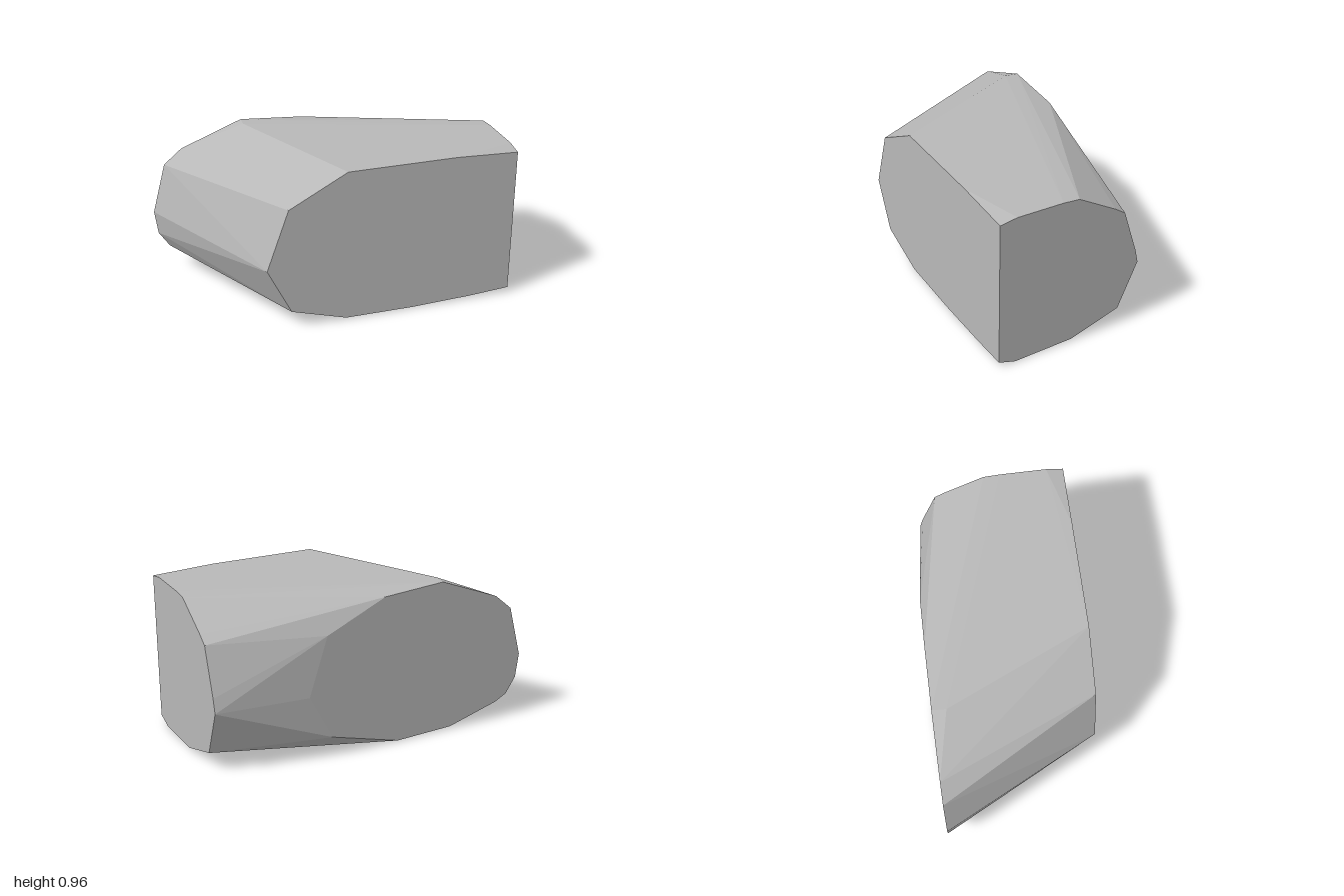
import * as THREE from 'three';
import { ConvexGeometry } from 'three/addons/geometries/ConvexGeometry.js';

// Flat front face, as x, y
const FRONT = [
  [1, 0.033], [1, 0.94], [0.62, 0.957], [-0.04, 0.957], [-0.39, 0.77],
  [-0.522, 0.4], [-0.38, 0.11], [-0.045, 0.008], [0.38, 0.005], [0.75, 0.017],
];

// Flat back face, as x, y
const BACK = [
  [0.33, 0.755], [0.445, 0.4], [0.3, 0.125], [-0.14, 0.003], [-0.51, 0.015],
  [-0.84, 0.11], [-0.915, 0.15], [-0.98, 0.25], [-1, 0.4], [-0.917, 0.713],
  [-0.805, 0.807], [-0.425, 0.954], [-0.04, 0.925],
];

// Flat end face at the left, as z, y
const END = [
  [0.37, 0], [0, 0.012], [-0.31, 0.115], [-0.428, 0.4], [-0.408, 0.485],
  [-0.315, 0.765], [-0.25, 0.81], [-0.01, 0.949], [0.09, 0.957], [0.37, 0.958],
];

const DEPTH = 0.475;

export function createModel() {
  const model = new THREE.Group();
  model.name = 'rock';

  const stone = new THREE.MeshStandardMaterial({ color: 0xb8b8b8 });
  stone.name = 'grey stone';

  // The chiselled block is the convex skin around its three cut faces
  const points = [
    ...FRONT.map(([x, y]) => new THREE.Vector3(x, y, DEPTH)),
    ...BACK.map(([x, y]) => new THREE.Vector3(x, y, -DEPTH)),
    ...END.map(([z, y]) => new THREE.Vector3(1, y, z)),
    new THREE.Vector3(-0.43, 0.958, -0.39), // ridge at the top
  ];
  const boulder = new THREE.Mesh(new ConvexGeometry(points), stone);
  boulder.name = 'boulder';
  model.add(boulder);

  return model;
}
